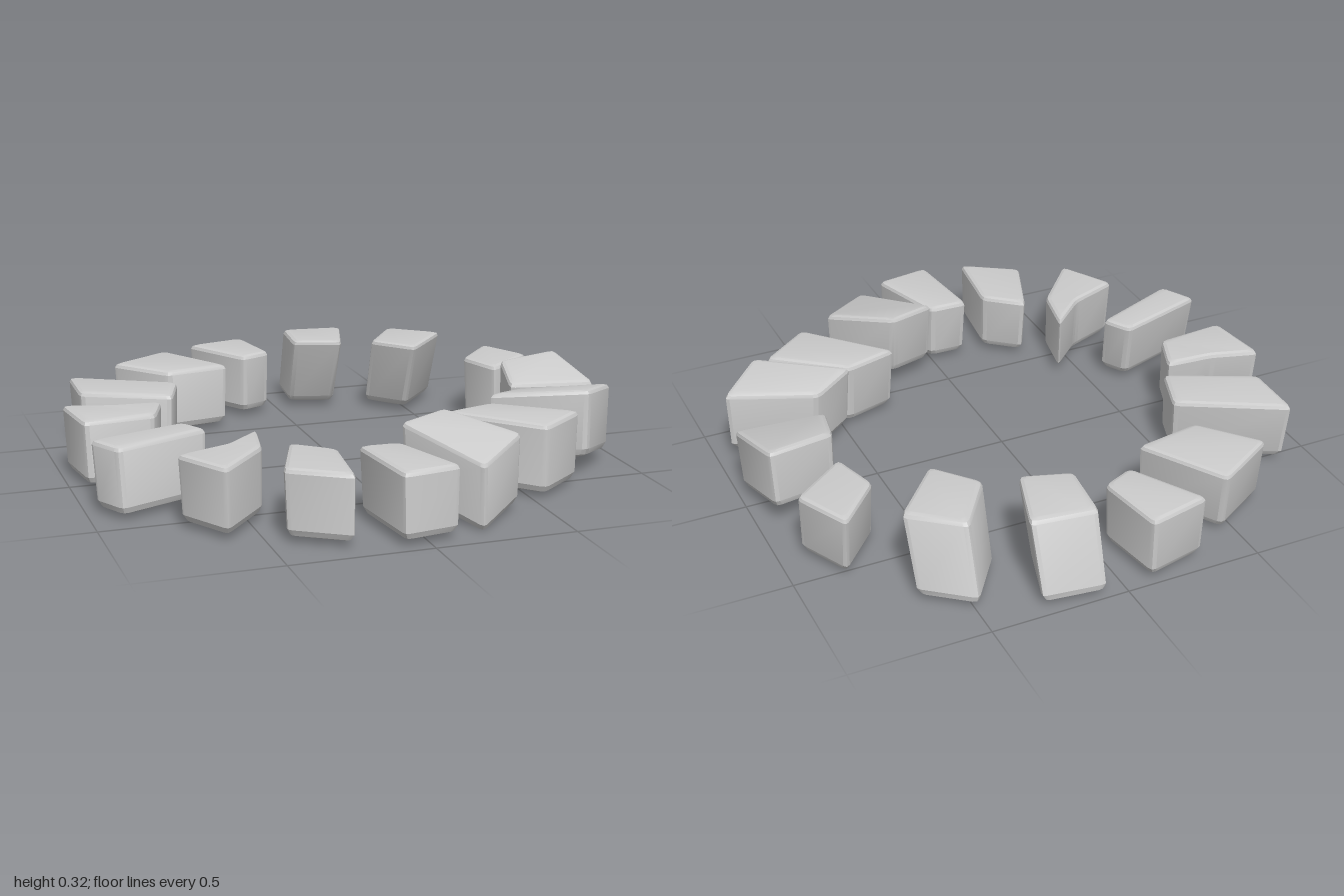
import * as THREE from 'three';
import { toCreasedNormals } from 'three/addons/utils/BufferGeometryUtils.js';

const material = new THREE.MeshStandardMaterial({ color: 0xcccccc });

// Each stone: angle in degrees, outer and inner radius, outer and inner width,
// radial skew of the outer and inner edge, then anything unusual about it.
const stones = [
  [-78, 0.91, 0.66, 0.24, 0.19, 0.02, -0.02, { top: 0.31, drift: -0.1 }],
  [-51.5, 0.93, 0.66, 0.23, 0.2, 0, -0.04, { top: 0.31, drift: -0.1 }],
  [-26, 0.99, 0.75, 0.23, 0.19, 0, -0.03, { lean: -0.07 }],
  [-1.5, 0.97, 0.68, 0.29, 0.2, 0.03, -0.05, { foot: 0.065, top: 0.295, tilt: -0.22, drift: -0.02 }],
  [23, 0.96, 0.61, 0.22, 0.16, -0.09, -0.11, { foot: 0.055, top: 0.305, tilt: 0.18 }],
  [43, 0.87, 0.51, 0.24, 0.18, -0.04, -0.11, { top: 0.28 }],
  [72, 0.87, 0.55, 0.26, 0.2, 0.11, 0.01, { lean: -0.09, foot: 0.052, top: 0.295, tilt: -0.22 }],
  [92, 0.95, 0.63, 0.21, 0.15, 0.04, 0, { lean: -0.08 }],
  [113.5, 0.93, 0.64, 0.24, 0.17, -0.04, -0.05, { lean: -0.05 }],
  [136, 0.93, 0.6, 0.23, 0.12, -0.06, -0.17, { lean: 0.03, notch: 0.04 }],
  [160, 1, 0.63, 0.15, 0.12, 0.02, 0.02, { drift: 0.035 }],
  [184, 0.97, 0.66, 0.25, 0.17, 0.05, -0.05, { notch: 0.02 }],
  [207.5, 1, 0.61, 0.22, 0.2, 0.11, 0.03],
  [235, 0.98, 0.67, 0.28, 0.23, -0.02, -0.11],
  [259.5, 0.99, 0.71, 0.24, 0.13, 0.01, 0.03, { lean: -0.05, drift: 0 }],
];

// Wedge outline in plan; lean slides the outer edge sideways, notch dents one flank.
function wedge(angle, outer, inner, outerWidth, innerWidth, outerSkew, innerSkew, lean, notch) {
  const corner = (radius, width, skew, slide, side) =>
    new THREE.Vector2(radius + side * skew / 2, side * width / 2 + slide / 2);
  const pts = [
    corner(outer, outerWidth, outerSkew, lean, -1),
    corner(outer, outerWidth, outerSkew, lean, 1),
    corner(inner, innerWidth, innerSkew, -lean, 1),
    corner(inner, innerWidth, innerSkew, -lean, -1),
  ];
  if (notch) {
    const dent = pts[1].clone().lerp(pts[2], 0.5);
    dent.y -= notch;
    pts.splice(2, 0, dent);
  }
  const origin = new THREE.Vector2();
  return pts.map((p) => p.rotateAround(origin, THREE.MathUtils.degToRad(angle)));
}

// Inset an outline by r, then round every corner with a short arc.
function roundedOutline(corners, r, cut = 0.02) {
  const n = corners.length;
  const inset = corners.map((p, i) => {
    const a = corners[(i + n - 1) % n].clone().sub(p).normalize();
    const b = corners[(i + 1) % n].clone().sub(p).normalize();
    return a.clone().add(b).multiplyScalar(r / b.cross(a)).add(p);
  });
  return inset.flatMap((p, i) => {
    const a = inset[(i + n - 1) % n].clone().sub(p).setLength(cut).add(p);
    const b = inset[(i + 1) % n].clone().sub(p).setLength(cut).add(p);
    return new THREE.QuadraticBezierCurve(a, p, b).getPoints(2);
  });
}

// Loft from a slightly smaller, drifted base to the top outline, with bevelled rims.
function stoneGeometry(outline, foot, top, tilt, drift) {
  const centre = outline.reduce((s, p) => s.add(p), new THREE.Vector2()).divideScalar(outline.length);
  const base = outline.map((p) => {
    const q = p.clone().lerp(centre, 0.05);
    q.y += drift;
    return q;
  });
  const h = top - foot, lo = 0.03, hi = 0.016;

  // Rings from the underside up: inset, height
  const rings = [
    [lo, 0], [lo * 0.3, lo * 0.3], [0, lo],
    [0, h - hi], [hi * 0.3, h - hi * 0.3], [hi, h],
  ].map(([r, y]) => {
    const section = base.map((p, i) => p.clone().lerp(outline[i], y / h));
    return roundedOutline(section, r).map((p) =>
      new THREE.Vector3(p.x, foot + y + tilt * (p.y - centre.y), p.y));
  });

  const tris = [];
  const n = rings[0].length;
  for (let k = 0; k < rings.length - 1; k++) {
    const b = rings[k], t = rings[k + 1];
    for (let i = 0; i < n; i++) {
      const j = (i + 1) % n;
      tris.push(b[i], t[i], b[j], b[j], t[i], t[j]);
    }
  }
  // Flat underside and top
  const cap = (ring, flip) => {
    const flat = ring.map((p) => new THREE.Vector2(p.x, p.z));
    for (const [a, b, c] of THREE.ShapeUtils.triangulateShape(flat, [])) {
      tris.push(ring[a], ring[flip ? c : b], ring[flip ? b : c]);
    }
  };
  cap(rings[0], false);
  cap(rings[rings.length - 1], true);
  return toCreasedNormals(new THREE.BufferGeometry().setFromPoints(tris), 0.4);
}

export function createModel() {
  const ring = new THREE.Group();
  ring.name = 'stoneRing';
  stones.forEach(([angle, outer, inner, outerWidth, innerWidth, outerSkew, innerSkew, extra = {}], i) => {
    const { lean = 0, notch = 0, foot = 0.03, top = 0.265, tilt = 0, drift = 0.015 } = extra;
    const outline = wedge(angle, outer, inner, outerWidth, innerWidth, outerSkew, innerSkew, lean, notch);
    const stone = new THREE.Mesh(stoneGeometry(outline, foot, top, tilt, drift), material);
    stone.name = `stone${i + 1}`;
    ring.add(stone);
  });
  return ring;
}
